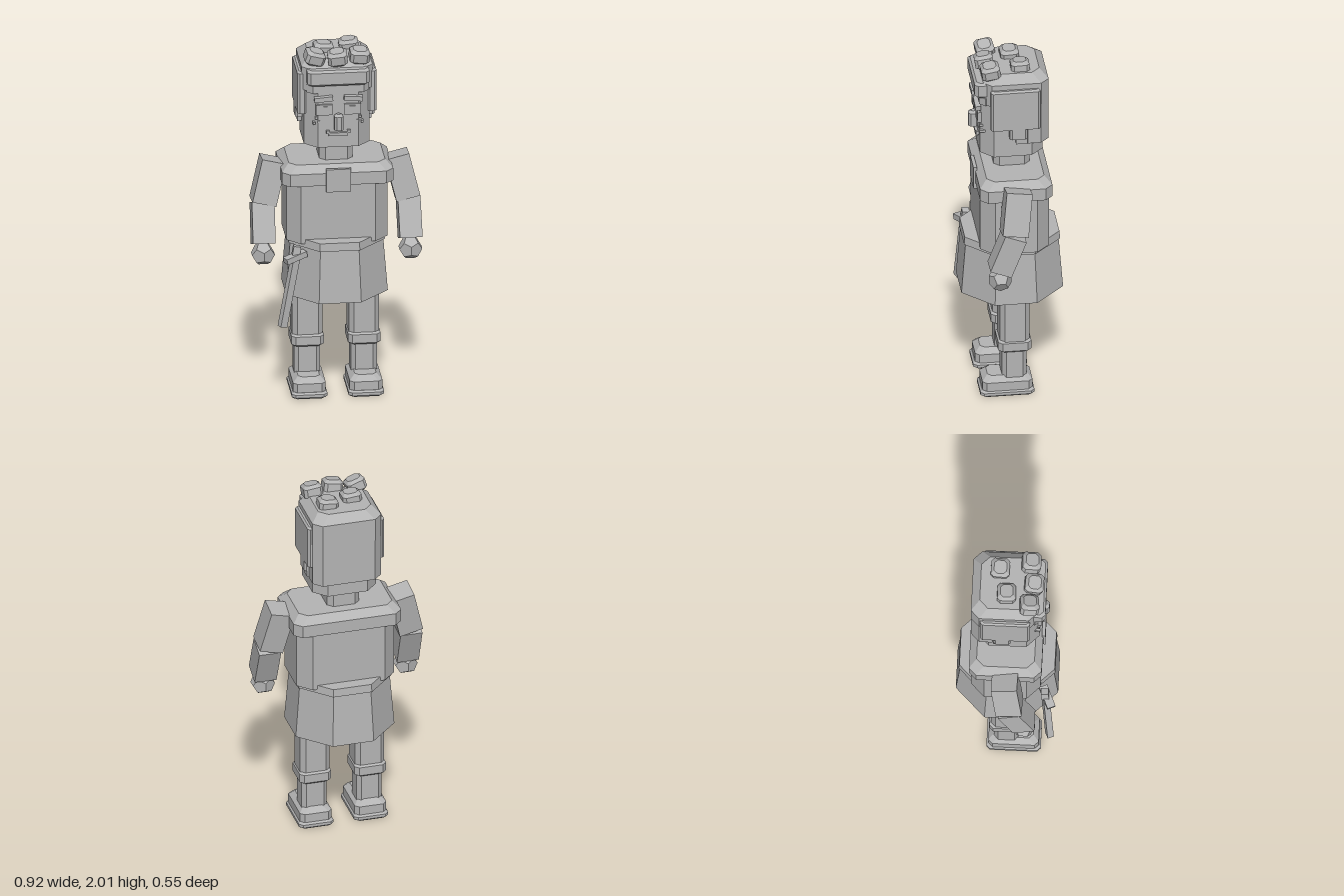
import * as THREE from 'three';
import { ConvexGeometry } from 'three/addons/geometries/ConvexGeometry.js';

const clay = new THREE.MeshStandardMaterial({ color: 0xb4b4b4, flatShading: true });
clay.name = 'clay grey';

// Box with chamfered upright edges (c) and bevelled top / bottom rims
function chamferBox(w, h, d, c, top = 0, bottom = 0) {
  const pts = [];
  const ring = (y, inset) => {
    const x = w / 2 - inset, z = d / 2 - inset;
    for (const sx of [-1, 1]) for (const sz of [-1, 1]) {
      pts.push(new THREE.Vector3(sx * (x - c), y, sz * z));
      pts.push(new THREE.Vector3(sx * x, y, sz * (z - c)));
    }
  };
  ring(-h / 2, bottom);
  if (bottom) ring(-h / 2 + bottom, 0);
  if (top) ring(h / 2 - top, 0);
  ring(h / 2, top);
  return new ConvexGeometry(pts);
}

export function createModel() {
  const model = new THREE.Group();
  model.name = 'blockyFigure';

  function add(name, geometry, x, y, z, parent = model) {
    const mesh = new THREE.Mesh(geometry, clay);
    mesh.name = name;
    mesh.position.set(x, y, z);
    parent.add(mesh);
    return mesh;
  }
  // Place a part by its extents: [x0,x1], [y0,y1], [z0,z1]
  function block(name, [x0, x1], [y0, y1], [z0, z1], c = 0, top = 0, bottom = 0) {
    const size = [x1 - x0, y1 - y0, z1 - z0];
    const geo = c ? chamferBox(...size, c, top, bottom) : new THREE.BoxGeometry(...size);
    return add(name, geo, (x0 + x1) / 2, (y0 + y1) / 2, (z0 + z1) / 2);
  }
  // Box stretched between two points
  function limb(name, a, b, w, d) {
    const from = new THREE.Vector3(...a), to = new THREE.Vector3(...b);
    const mesh = add(name, new THREE.BoxGeometry(w, from.distanceTo(to), d), 0, 0, 0);
    mesh.position.copy(from).lerp(to, 0.5);
    mesh.quaternion.setFromUnitVectors(new THREE.Vector3(0, 1, 0), from.sub(to).normalize());
    return mesh;
  }
  // Eight-sided tapered ring with a flat side to the front; radii are apothems
  function octagon(name, rTop, rBottom, y0, y1) {
    const k = 1 / Math.cos(Math.PI / 8);
    const geo = new THREE.CylinderGeometry(rTop * k, rBottom * k, y1 - y0, 8);
    geo.rotateY(Math.PI / 8);
    add(name, geo, 0, (y0 + y1) / 2, 0);
  }

  // Torso, shoulder yoke, skirt
  block('torso', [-0.273, 0.273], [0.9, 1.25], [-0.188, 0.185], 0.072);
  block('shoulderYoke', [-0.3, 0.3], [1.235, 1.345], [-0.198, 0.193], 0.04, 0.04);
  block('collarPlate', [-0.067, 0.067], [1.2, 1.33], [0.185, 0.204]);
  octagon('skirt', 0.252, 0.275, 0.585, 0.88);
  octagon('waistband', 0.256, 0.26, 0.88, 0.925);
  block('neck', [-0.09, 0.09], [1.33, 1.46], [-0.1, 0.095], 0.03);

  // Head and hair
  block('head', [-0.178, 0.178], [1.45, 1.88], [-0.165, 0.175], 0.068);
  block('hairCap', [-0.192, 0.192], [1.77, 1.945], [-0.192, 0.165], 0.045, 0.045);
  block('backHair', [-0.19, 0.19], [1.53, 1.88], [-0.191, -0.03], 0.045);
  block('hairline', [-0.168, 0.168], [1.765, 1.81], [0.12, 0.182], 0.03);
  block('fringe', [-0.168, 0.168], [1.812, 1.902], [0.12, 0.208], 0.018, 0.012, 0.012);
  const curls = [[-0.122, 1.955, 0.12, 0.3], [0, 1.955, 0.14, -0.12], [0.12, 1.955, 0.12, 0.1],
    [-0.062, 1.95, -0.005, 0.08], [0.08, 1.95, -0.045, -0.1]];
  curls.forEach(([x, y, z, tilt], i) => {
    const front = i < 3;
    const curl = add('hairCurl', chamferBox(0.105, 0.08, 0.1, 0.016, 0.016, 0.016), x, y, z);
    curl.rotation.set(front ? 0.15 : 0.04, tilt * 0.25, -tilt);
  });
  for (const s of [-1, 1]) {
    const side = (name, y, z) => block(name, s < 0 ? [-0.214, -0.165] : [0.165, 0.214], y, z, 0.012, 0.01);
    side('sideHair', [1.63, 1.87], [-0.14, 0.127]);
    side('sideburn', [1.57, 1.64], [-0.07, 0.025]);
    block('sideburnTip', s < 0 ? [-0.2, -0.165] : [0.165, 0.2], [1.535, 1.6], [-0.07, -0.01]);

    // Eyes, brows, freckles
    add('eye', new THREE.BoxGeometry(0.09, 0.06, 0.02), s * 0.076, 1.67, 0.178);
    add('pupil', new THREE.BoxGeometry(0.035, 0.045, 0.008), s * 0.076, 1.668, 0.189);
    const brow = add('eyebrow', new THREE.BoxGeometry(0.1, 0.026, 0.03), s * 0.08, 1.735, 0.187);
    brow.rotation.z = -s * 0.08;
    for (const [x, y] of [[0.105, 1.6], [0.118, 1.622], [0.13, 1.592]]) {
      add('freckle', new THREE.BoxGeometry(0.013, 0.013, 0.04), s * x, y, 0.16);
    }
    add('mouthCorner', new THREE.BoxGeometry(0.018, 0.018, 0.02), s * 0.056, 1.541, 0.18);
  }
  block('nose', [-0.024, 0.024], [1.56, 1.65], [0.17, 0.224], 0.012, 0.012);
  block('mouth', [-0.052, 0.052], [1.52, 1.537], [0.17, 0.19]);

  // Arms and legs
  for (const s of [-1, 1]) {
    limb('upperArm', [s * 0.333, 1.325, -0.003], [s * 0.39, 1.092, 0.026], 0.132, 0.14);
    limb('forearm', [s * 0.394, 1.09, 0.024], [s * 0.397, 0.88, 0.106], 0.122, 0.122);
    add('hand', new THREE.DodecahedronGeometry(0.066), s * 0.398, 0.822, 0.103);

    const span = half => [s * 0.153 - half, s * 0.153 + half];
    block('thigh', span(0.082), [0.32, 0.62], [-0.08, 0.08], 0.025);
    block('kneeBand', span(0.088), [0.265, 0.338], [-0.09, 0.09], 0.022, 0.015, 0.01);
    block('shin', span(0.07), [0.09, 0.28], [-0.065, 0.068], 0.022);
    block('shoe', span(0.088), [0.03, 0.115], [-0.095, 0.175], 0.022, 0.03);
    block('sole', span(0.096), [0, 0.036], [-0.105, 0.187], 0.02, 0.01, 0.01);
  }

  // Sword hanging at the right hip
  const blade = limb('swordBlade', [-0.232, 0.85, 0.212], [-0.308, 0.45, 0.238], 0.04, 0.035);
  blade.rotateY(0.4);
  const guard = add('swordGuard', new THREE.BoxGeometry(0.125, 0.032, 0.045), -0.237, 0.842, 0.222);
  guard.rotation.set(0, 0.42, 0.2);
  limb('swordGrip', [-0.225, 0.9, 0.208], [-0.236, 0.84, 0.214], 0.04, 0.04);

  return model;
}
